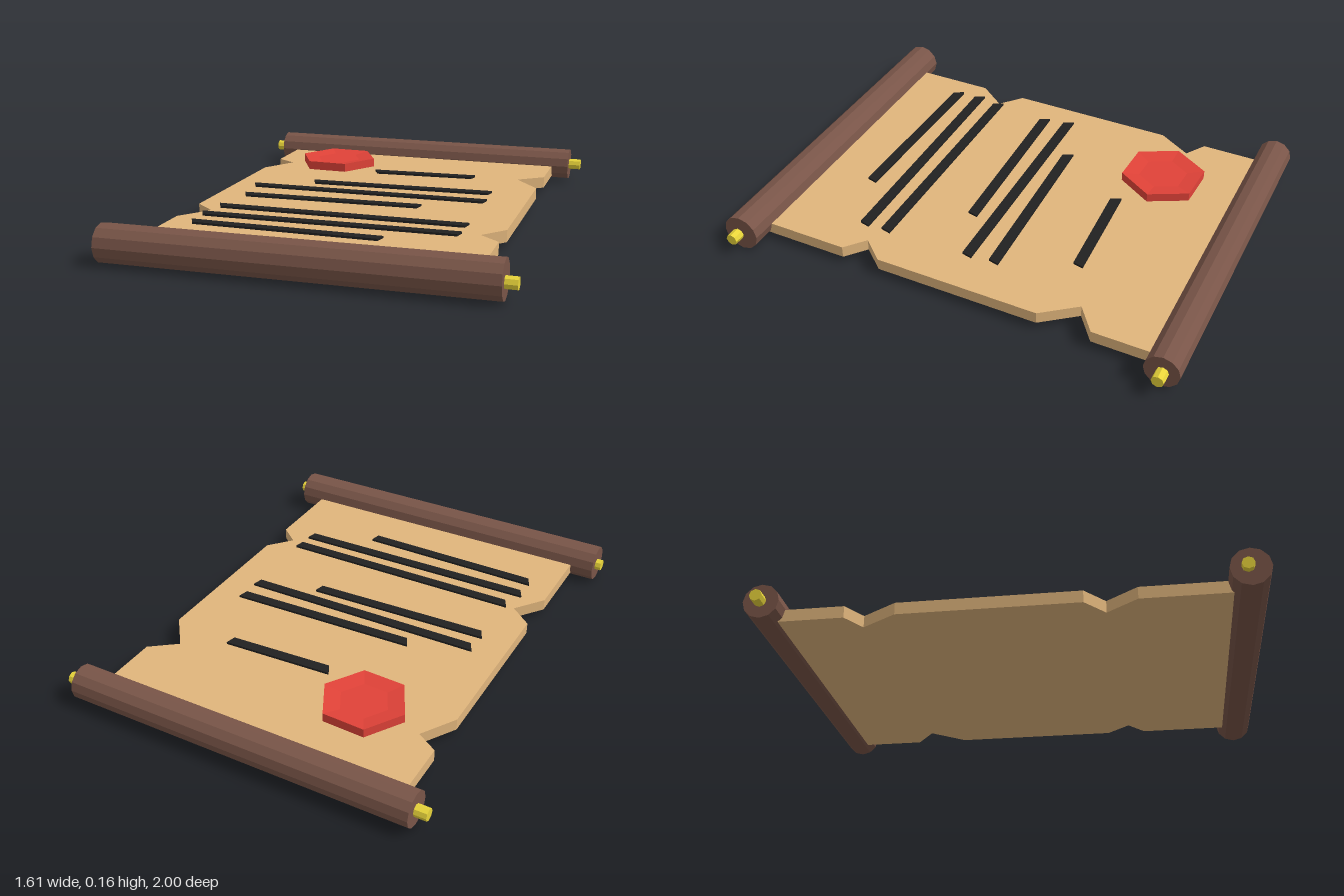
import * as THREE from 'three';

const mat = (color) => new THREE.MeshStandardMaterial({ color, flatShading: true });

export function createModel() {
  const model = new THREE.Group();
  const paper = mat(0xe0b57c), wood = mat(0x795548), gold = mat(0xe8d43a);
  const wax = mat(0xe04238), ink = mat(0x212121);

  function add(name, geometry, material, x = 0, y = 0, z = 0) {
    const mesh = new THREE.Mesh(geometry, material);
    mesh.name = name;
    mesh.position.set(x, y, z);
    model.add(mesh);
    return mesh;
  }

  // Flat plate from an outline of [x, z] points, lying on its local y = 0
  function plate(points, thickness) {
    const shape = new THREE.Shape(points.map(([x, z]) => new THREE.Vector2(x, -z)));
    return new THREE.ExtrudeGeometry(shape, { depth: thickness, bevelEnabled: false }).rotateX(-Math.PI / 2);
  }

  // Cylinder lying along x between two ends
  function rod(name, material, x0, x1, radius, sides, y, z) {
    const geometry = new THREE.CylinderGeometry(radius, radius, x1 - x0, sides).rotateZ(Math.PI / 2);
    return add(name, geometry, material, (x0 + x1) / 2, y, z);
  }

  // Parchment with torn notches along both long edges
  add('parchment', plate([
    [-0.68, 0.9], [0.65, 0.9],
    [0.65, 0.48], [0.565, 0.41], [0.65, 0.31],
    [0.65, -0.395], [0.54, -0.535], [0.65, -0.62],
    [0.65, -0.9], [-0.68, -0.9],
    [-0.68, -0.62], [-0.59, -0.565], [-0.68, -0.42],
    [-0.68, 0.305], [-0.585, 0.385], [-0.68, 0.51],
  ], 0.05), paper, 0, 0.03, 0);

  // Wooden rollers, the front one slightly askew, with a gold pin through each
  rod('backRoller', wood, -0.757, 0.727, 0.072, 12, 0.083, -0.928);
  rod('backPin', gold, -0.808, 0.78, 0.025, 8, 0.083, -0.931);
  const front = rod('frontRoller', wood, -0.782, 0.757, 0.078, 12, 0.079, 0.914);
  front.rotation.set(0, 0.011, 0.002);
  const pin = rod('frontPin', gold, -0.808, 0.805, 0.025, 8, 0.077, 0.915);
  pin.rotation.set(0, -0.004, -0.003);

  // Six-sided wax seal with a shallow dished top
  const profile = [[0, 0], [0.18, 0], [0.18, 0.038], [0.105, 0.028], [0, 0.028]]
    .map(([r, y]) => new THREE.Vector2(r, y));
  const seal = add('waxSeal', new THREE.LatheGeometry(profile, 6, Math.PI / 2), wax, -0.34, 0.096, -0.541);
  seal.rotation.y = -0.04;

  // Ink strokes: left x, left z, right x, right z, height
  const strokes = [
    [-0.12, -0.413, 0.355, -0.437, 0.096],
    [-0.315, -0.103, 0.495, -0.131, 0.105],
    [-0.56, 0.002, 0.497, -0.012, 0.098],
    [-0.555, 0.123, 0.24, 0.097, 0.084],
    [-0.56, 0.372, 0.505, 0.363, 0.096],
    [-0.587, 0.485, 0.5, 0.468, 0.09],
    [-0.58, 0.597, 0.225, 0.604, 0.086],
  ];
  const h = 0.022;
  for (const [x0, z0, x1, z1, y] of strokes) {
    add('inkStroke', plate([
      [x0, z0 - h], [x0 + 0.022, z0 + h], [x1 - 0.01, z1 + h], [x1, z1 - h],
    ], 0.009), ink, 0, y, 0);
  }
  return model;
}
